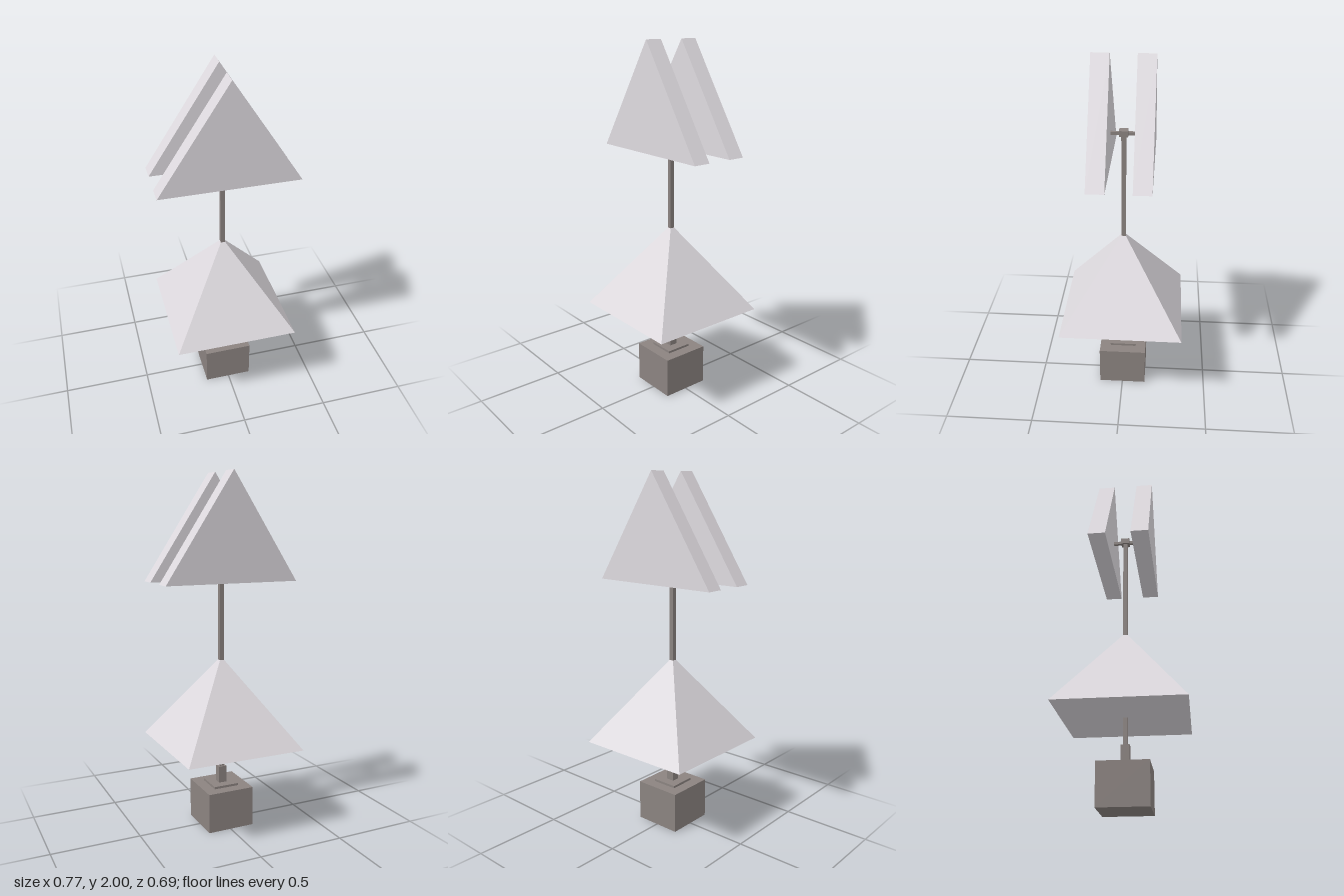
import * as THREE from 'three';

export function createModel() {
  const model = new THREE.Group();
  model.name = 'pyramidMarker';

  const pale = new THREE.MeshStandardMaterial({ color: 0xdedadf });
  pale.name = 'paleGrey';
  const brown = new THREE.MeshStandardMaterial({ color: 0x8b8380 });
  brown.name = 'warmGrey';

  const AXIS = -0.003; // the mast stands a hair off centre

  function add(name, geometry, material, x, y, z) {
    const mesh = new THREE.Mesh(geometry, material);
    mesh.name = name;
    mesh.position.set(x, y, z);
    model.add(mesh);
    return mesh;
  }

  // Square post between two heights
  function post(name, width, bottom, top, depth = width) {
    add(name, new THREE.BoxGeometry(width, top - bottom, depth), brown, AXIS, (bottom + top) / 2, 0);
  }

  // Foot, socket and mast
  post('baseBlock', 0.274, 0, 0.23);
  post('basePlate', 0.15, 0.23, 0.243);
  post('mastSocket', 0.046, 0.243, 0.34);
  post('mast', 0.025, 0.34, 1.57);

  // Hub and the crossbar that carries the triangles
  post('hub', 0.048, 1.567, 1.6);
  post('crossbar', 0.017, 1.572, 1.589, 0.15);

  // Four-sided pyramid with flat faces
  const pyramid = new THREE.ConeGeometry(0.344 * Math.SQRT2, 0.5, 4)
    .rotateY(Math.PI / 4)
    .toNonIndexed();
  pyramid.computeVertexNormals();
  add('pyramid', pyramid, pale, AXIS, 0.737, 0);

  // Pair of thick upright triangles, front and back
  const triangle = new THREE.Shape([
    new THREE.Vector2(-0.385, 1.412),
    new THREE.Vector2(0.385, 1.412),
    new THREE.Vector2(0, 2),
  ]);
  const slab = new THREE.ExtrudeGeometry(triangle, { depth: 0.096, bevelEnabled: false });
  slab.translate(0, 0, -0.048);
  add('frontTriangle', slab, pale, 0, 0, 0.117);
  add('backTriangle', slab, pale, 0, 0, -0.117);

  return model;
}
